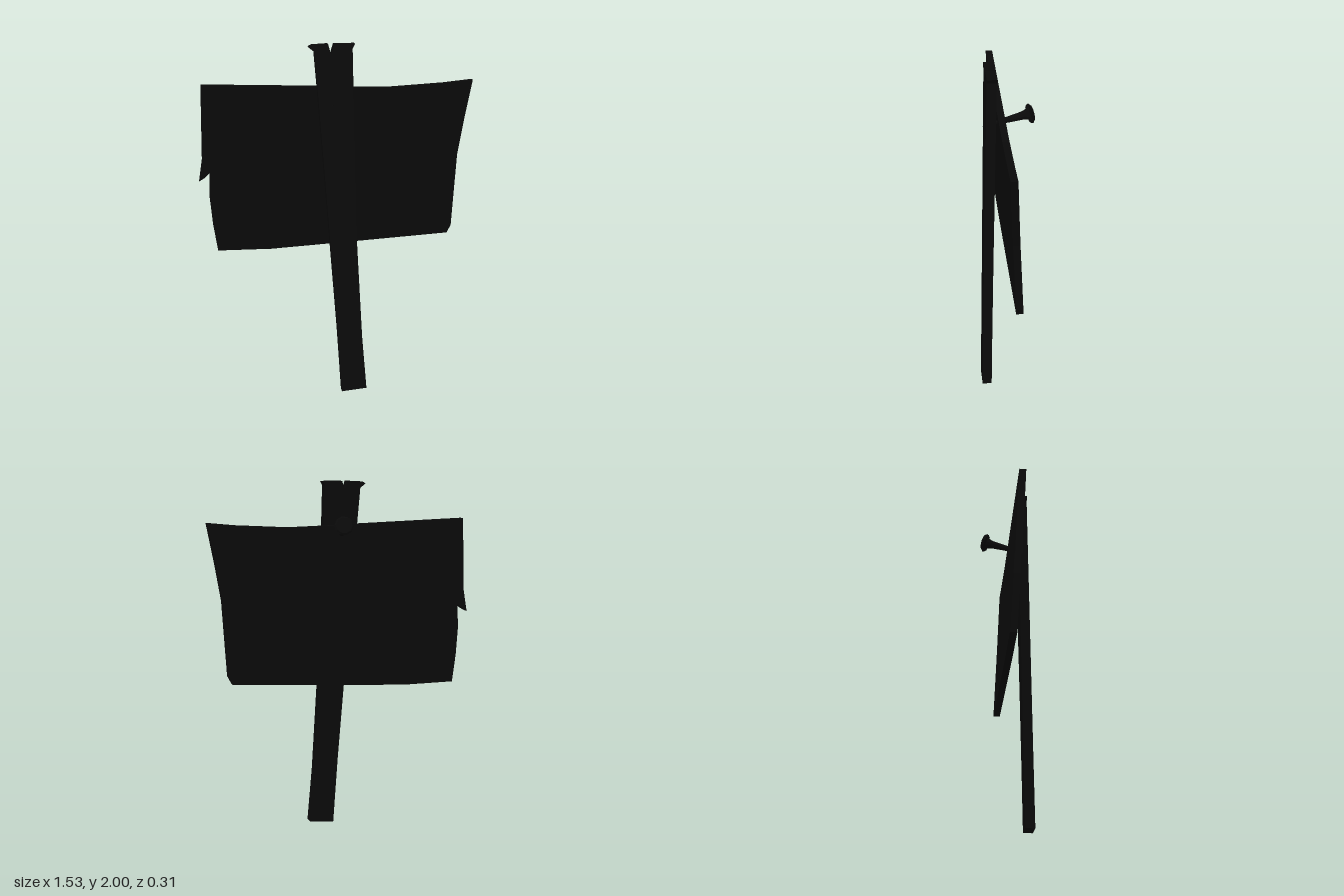
import * as THREE from 'three';

const material = new THREE.MeshStandardMaterial({ color: 0x0a0a0a, flatShading: true });

// Plank cut from an outline, leaning so its mid-plane passes z0 at y = 0 and z2 at y = 2
function plank(name, outline, thickness, z0, z2) {
  const shape = new THREE.Shape(outline.map(([x, y]) => new THREE.Vector2(x, y)));
  const geometry = new THREE.ExtrudeGeometry(shape, { depth: thickness, bevelEnabled: false });
  const p = geometry.attributes.position;
  for (let i = 0; i < p.count; i++) {
    p.setZ(i, p.getZ(i) - thickness / 2 + z0 + (z2 - z0) * p.getY(i) / 2);
  }
  geometry.computeVertexNormals();
  const mesh = new THREE.Mesh(geometry, material);
  mesh.name = name;
  return mesh;
}

export function createModel() {
  const sign = new THREE.Group();
  sign.name = 'woodenSign';

  // Crooked post with a split, splayed top
  sign.add(plank('post', [
    [0.02, 0], [0.163, 0.015], [0.137, 0.33], [0.108, 0.86], [0.086, 1.75],
    [0.081, 1.975], [0.094, 2], [-0.02, 2], [-0.037, 1.945], [-0.052, 2],
    [-0.14, 1.995], [-0.16, 1.985], [-0.128, 1.96], [-0.112, 1.77],
    [-0.042, 0.86], [-0.005, 0.385],
  ], 0.054, 0.128, 0.08));

  // Warped board with a splintered edge
  sign.add(plank('board', [
    [-0.67, 0.83], [-0.37, 0.83], [0.11, 0.86], [0.645, 0.895], [0.668, 0.94],
    [0.69, 1.36], [0.722, 1.56], [0.763, 1.785], [0.6, 1.768], [0.3, 1.75],
    [0.08, 1.755], [-0.11, 1.762], [-0.743, 1.78], [-0.747, 1.36], [-0.765, 1.24],
    [-0.735, 1.258], [-0.706, 1.285], [-0.71, 1.15], [-0.695, 0.99],
  ], 0.038, -0.057, 0.04));

  // Tapered nail driven through the board and post, tip towards the front
  const tip = new THREE.Vector3(-0.03, 1.665, 0.125);
  const head = new THREE.Vector3(0.032, 1.767, -0.138);
  const length = tip.distanceTo(head);
  const profile = [
    [0, 0], [0.009, 0.05], [0.015, 0.13], [0.022, length - 0.06], [0.03, length - 0.025],
    [0.05, length - 0.02], [0.054, length - 0.008], [0.045, length], [0, length],
  ].map(([r, y]) => new THREE.Vector2(r, y));
  const nail = new THREE.Mesh(new THREE.LatheGeometry(profile, 10), material);
  nail.name = 'nail';
  nail.position.copy(tip);
  nail.quaternion.setFromUnitVectors(new THREE.Vector3(0, 1, 0), head.clone().sub(tip).normalize());
  sign.add(nail);

  return sign;
}
